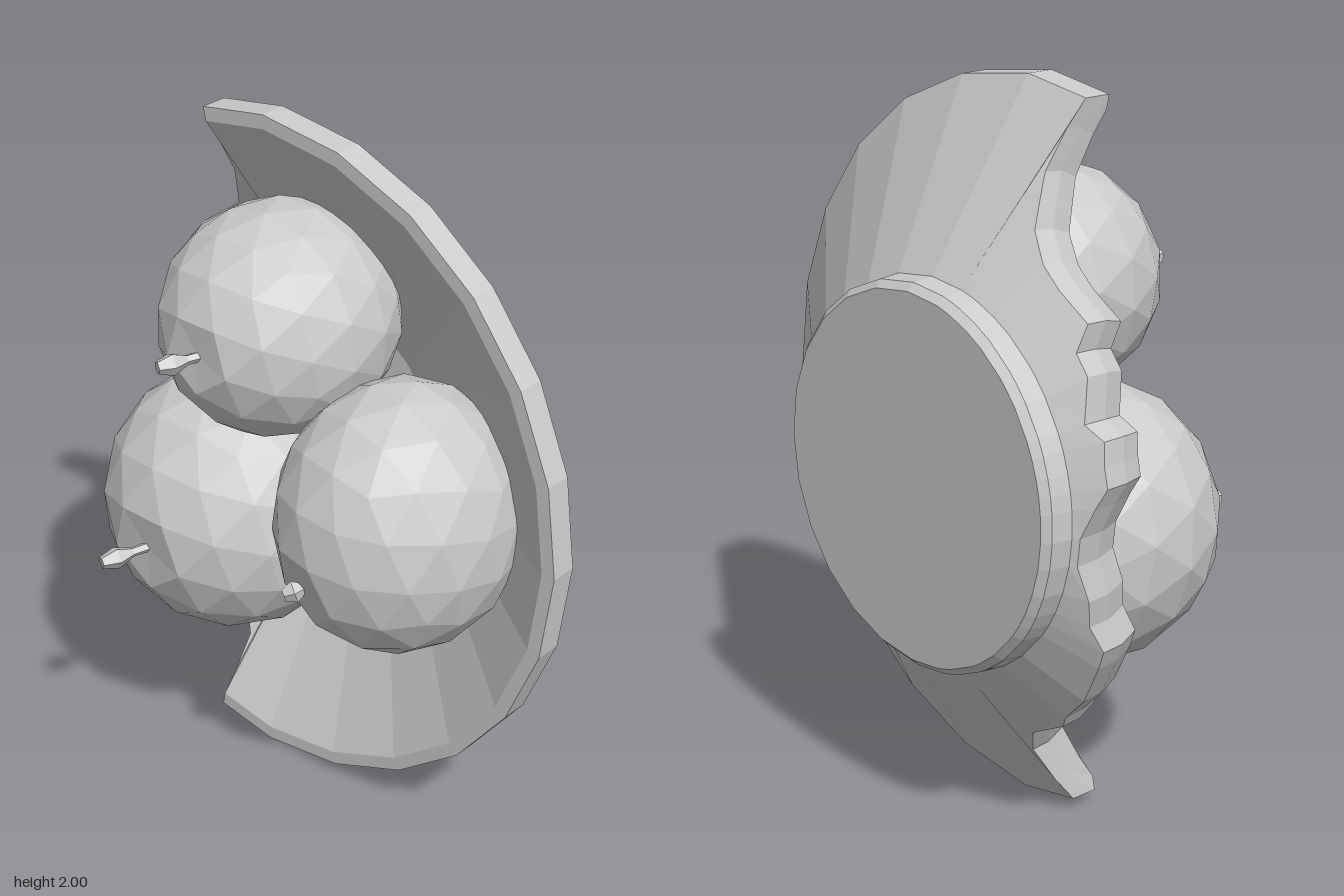
import * as THREE from 'three';

const grey = new THREE.MeshStandardMaterial({ color: 0xcccccc, flatShading: true });
const CX = -0.2, CY = 1;
const UP = new THREE.Vector3(0, 1, 0);

function addMesh(parent, geometry, name) {
  const mesh = new THREE.Mesh(geometry, grey);
  mesh.name = name;
  parent.add(mesh);
  return mesh;
}

// Ragged break: [angle in degrees, radius left standing]
const BREAK = [
  [102.5, 0.99], [102.8, 0.92], [104, 0.82], [107, 0.76], [110, 0.71], [117, 0.67], [124, 0.66], [134, 0.67],
  [138, 0.62], [144, 0.62], [154, 0.58], [159, 0.61], [165, 0.6], [170, 0.6], [175, 0.57], [183, 0.54],
  [191, 0.54], [200, 0.58], [207, 0.6], [212, 0.65], [217, 0.66], [229, 0.69], [238, 0.705], [241, 0.725],
  [252, 0.735], [257, 0.8], [258, 0.91], [258.5, 0.985],
];

// Half profile [radius, z] at one angle, from the back centre round to the inner floor
function bowlProfile(limit) {
  const outerZ = r => -0.4 + (r - 0.52) * 0.32 / 0.48;
  const innerZ = r => -0.35 + (r - 0.3) * 0.35 / 0.66;
  const inner = limit - 0.03;
  const edge = limit > 0.97
    ? [[limit, -0.08], [limit, 0], [limit - 0.04, 0]]
    : [[limit, outerZ(limit)], [limit - 0.005, (outerZ(limit) + innerZ(inner)) / 2], [inner, innerZ(inner)]];
  return [[0, -0.48], [0.5, -0.48], [0.52, -0.46], [0.525, -0.4], ...edge, [0.3, -0.35], [0, -0.35]];
}

function bowlGeometry() {
  const columns = [];
  for (let a = -90; a <= 90; a += 15) columns.push([a, 1]);
  columns.push(...BREAK);

  const positions = [], indices = [];
  let rows = 0;
  for (const [deg, limit] of columns) {
    const a = THREE.MathUtils.degToRad(deg);
    const profile = bowlProfile(limit);
    rows = profile.length;
    for (const [r, z] of profile) positions.push(CX + r * Math.cos(a), CY + r * Math.sin(a), z);
  }
  for (let j = 0; j < columns.length; j++) {
    const k = (j + 1) % columns.length;
    for (let i = 0; i < rows - 1; i++) {
      const a = j * rows + i, b = k * rows + i;
      // The first and last bands are fans round the centre
      if (i > 0) indices.push(a, b, b + 1);
      if (i < rows - 2) indices.push(a, b + 1, a + 1);
    }
  }
  const g = new THREE.BufferGeometry();
  g.setAttribute('position', new THREE.Float32BufferAttribute(positions, 3));
  g.setIndex(indices);
  const flat = g.toNonIndexed();
  flat.computeVertexNormals();
  return flat;
}

// Faceted ball with one corner turned to the stem and pressed in a little
function fruitGeometry(half, axis) {
  const g = new THREE.IcosahedronGeometry(1, 2);
  const p = g.attributes.position, v = new THREE.Vector3();
  const corner = new THREE.Vector3(0, 1, (1 + Math.sqrt(5)) / 2).normalize();
  const turn = new THREE.Quaternion().setFromUnitVectors(corner, axis);
  for (let i = 0; i < p.count; i++) {
    v.fromBufferAttribute(p, i).normalize().applyQuaternion(turn);
    const t = v.dot(axis);
    const dimple = 0.08 * THREE.MathUtils.smoothstep(t, 0.95, 1);
    const taper = 0.03 * THREE.MathUtils.smoothstep(-t, 0.2, 1);
    v.multiplyScalar(1.015 - dimple - taper).multiply(half);
    p.setXYZ(i, v.x, v.y, v.z);
  }
  g.computeVertexNormals();
  return g;
}

// Short stem that swells and then comes to a blunt tip
function addStem(parent, from, to) {
  const dir = to.clone().sub(from), len = dir.length();
  const profile = [[0, 0], [0.015, 0], [0.014, 0.5], [0.032, 0.75], [0.018, 1], [0, 1]]
    .map(([r, t]) => new THREE.Vector2(r, t * len));
  const stem = addMesh(parent, new THREE.LatheGeometry(profile, 5), 'stem');
  stem.position.copy(from);
  stem.quaternion.setFromUnitVectors(UP, dir.normalize());
}

const FRUITS = [
  { name: 'lowerFruit', centre: [-0.325, 0.815, -0.01], half: [0.375, 0.385, 0.385], axis: [-0.02, -0.08, 1], stem: [[-0.32, 0.79, 0.3], [-0.385, 0.775, 0.475]] },
  { name: 'upperFruit', centre: [-0.14, 1.44, 0], half: [0.32, 0.32, 0.345], axis: [0, 0.02, 1], stem: [[-0.12, 1.445, 0.27], [-0.185, 1.435, 0.425]] },
  { name: 'sideFruit', centre: [0.315, 1.015, 0.03], half: [0.325, 0.38, 0.36], axis: [-0.2, -0.3, 0.9], stem: [[0.27, 0.91, 0.28], [0.2, 0.875, 0.37]] },
];

export function createModel() {
  const model = new THREE.Group();
  model.name = 'brokenFruitBowl';
  addMesh(model, bowlGeometry(), 'brokenBowl');

  for (const f of FRUITS) {
    const group = new THREE.Group();
    group.name = f.name;
    const axis = new THREE.Vector3(...f.axis).normalize();
    addMesh(group, fruitGeometry(new THREE.Vector3(...f.half), axis), 'fruitBody').position.set(...f.centre);
    addStem(group, new THREE.Vector3(...f.stem[0]), new THREE.Vector3(...f.stem[1]));
    model.add(group);
  }
  return model;
}
